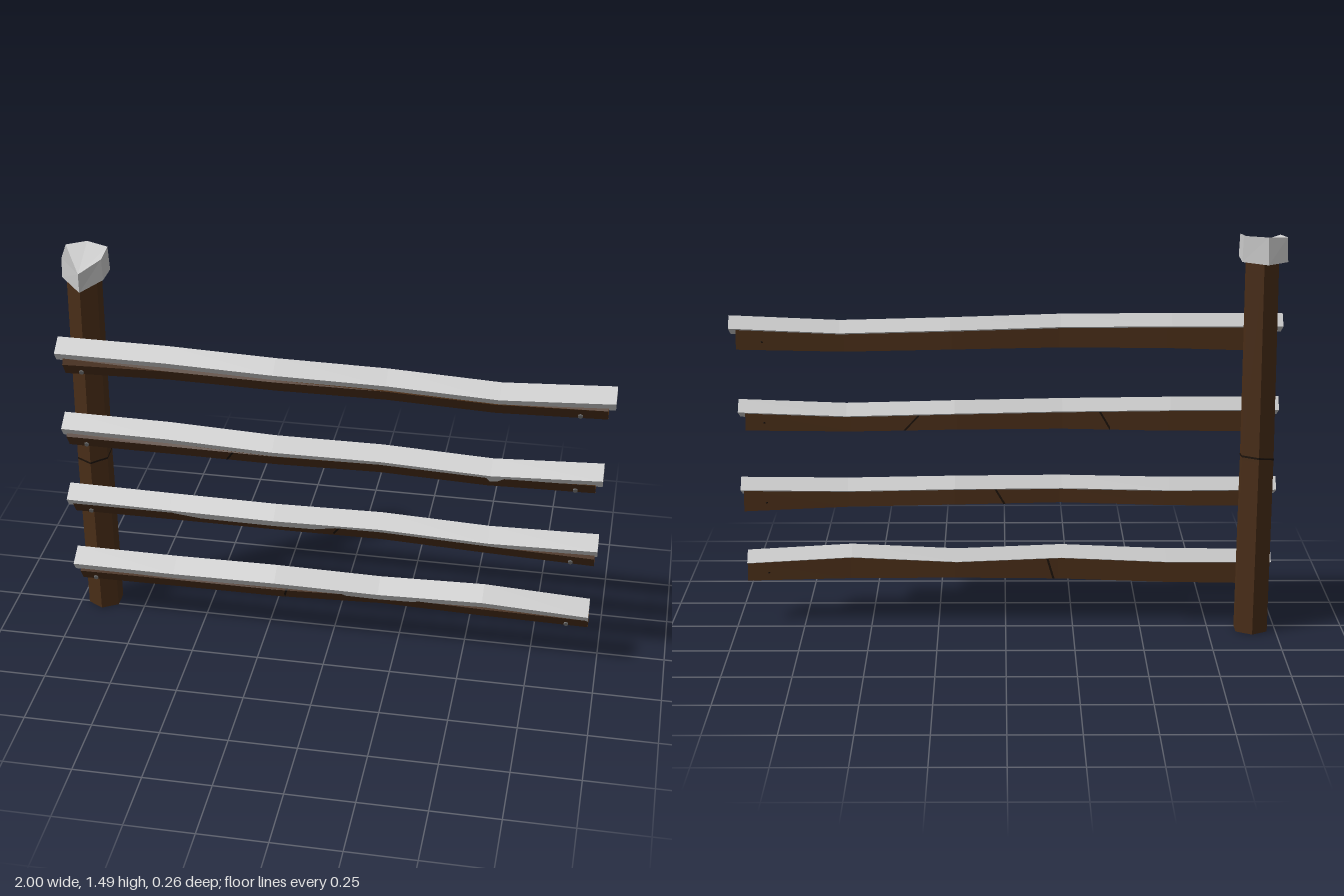
import * as THREE from 'three';

const V = (x, y, z) => new THREE.Vector3(x, y, z);
const mat = (color) => new THREE.MeshStandardMaterial({ color, flatShading: true });
const WOOD = mat(0x4a2e18), CUT = mat(0x8f5a2b), SNOW = mat(0xcccccc), DARK = mat(0x1c120a), METAL = mat(0x666666);

function meshFrom(triangles, material, name) {
  const geo = new THREE.BufferGeometry().setFromPoints(triangles);
  geo.computeVertexNormals();
  const mesh = new THREE.Mesh(geo, material);
  mesh.name = name;
  return mesh;
}

// Faceted skin through rings that run counter-clockwise seen from the far end
function loft(rings, material, name, endMaterial = material) {
  const group = new THREE.Group();
  group.name = name;
  const sides = [], ends = [], n = rings[0].length;
  for (let i = 0; i < rings.length - 1; i++) {
    for (let j = 0; j < n; j++) {
      const k = (j + 1) % n, a = rings[i], b = rings[i + 1];
      sides.push(a[j], a[k], b[k], a[j], b[k], b[j]);
    }
  }
  const first = rings[0], last = rings[rings.length - 1];
  for (let j = 1; j < n - 1; j++) {
    ends.push(first[0], first[j + 1], first[j], last[0], last[j], last[j + 1]);
  }
  group.add(meshFrom(sides, material, name + 'Sides'), meshFrom(ends, endMaterial, name + 'Ends'));
  return group;
}

// Rail shape: underside height, snow ridge height and depth drift along x
const STATIONS = [-1, -0.6, -0.2, 0.2, 0.6, 1];
const DRIFT = [-0.01, -0.007, 0.006, -0.006, 0.003, -0.003];
const RAILS = [
  { lo: [0.155, 0.16, 0.17, 0.178, 0.173, 0.165], hi: [0.287, 0.287, 0.3, 0.287, 0.305, 0.28],
    snow: [-0.985, 0.96], wood: [-0.965, 0.96], front: 0.008, cracks: [[-0.16, 0.3]] },
  { lo: [0.457, 0.46, 0.468, 0.463, 0.452, 0.435], hi: [0.568, 0.565, 0.57, 0.57, 0.56, 0.566],
    snow: [-0.995, 0.975], wood: [-0.975, 0.965], front: 0, cracks: [[0.035, 0.6]] },
  { lo: [0.745, 0.745, 0.75, 0.75, 0.74, 0.747], hi: [0.872, 0.87, 0.862, 0.857, 0.845, 0.863],
    snow: [-0.995, 0.975], wood: [-0.98, 0.95], front: 0, cracks: [[0.32, -0.95], [-0.35, 0.6]] },
  { lo: [1.043, 1.055, 1.055, 1.05, 1.04, 1.05], hi: [1.182, 1.182, 1.177, 1.167, 1.155, 1.174],
    snow: [-1, 1], wood: [-0.975, 0.975], front: 0, cracks: [] },
];

function at(values, x) {
  const t = THREE.MathUtils.clamp((x + 1) / 0.4, 0, 4.999), i = Math.floor(t);
  return THREE.MathUtils.lerp(values[i], values[i + 1], t - i);
}

function woodRing(rail, x) {
  const lo = at(rail.lo, x), hi = at(rail.hi, x), z = at(DRIFT, x);
  return [V(x, hi - 0.066, z + 0.1), V(x, lo + 0.05, z + 0.108), V(x, lo, z + 0.076),
    V(x, lo + 0.002, z + 0.038), V(x, hi - 0.044, z + 0.04)];
}

function snowRing(rail, x) {
  const hi = at(rail.hi, x), z = at(DRIFT, x);
  return [V(x, hi - 0.04, z + 0.118 + rail.front), V(x, hi - 0.076, z + 0.094 + rail.front),
    V(x, hi - 0.042, z + 0.025), V(x, hi, z + 0.06)];
}

const along = ([x0, x1], ring) =>
  STATIONS.map((s) => ring(THREE.MathUtils.mapLinear(s, -1, 1, x0, x1)));

// Thin dark slice leaning across the rail
function crackSlice(ringFn, rail, x, lean, name) {
  const mid = (at(rail.lo, x) + at(rail.hi, x)) / 2;
  const slice = [-0.004, 0.004].map((d) => {
    const ring = ringFn(rail, x);
    const c = ring.reduce((s, p) => s.add(p), V(0, 0, 0)).divideScalar(ring.length);
    return ring.map((p) => V(x + d + lean * (p.y - mid), c.y + (p.y - c.y) * 1.02, c.z + (p.z - c.z) * 1.03));
  });
  return loft(slice, DARK, name);
}

function makeNail(x, y, z) {
  const nail = new THREE.Group();
  nail.name = 'nail';
  const shaft = new THREE.Mesh(new THREE.CylinderGeometry(0.005, 0.002, 0.095, 5), DARK);
  shaft.name = 'nailShaft';
  shaft.position.y = -0.0475;
  const head = new THREE.Mesh(new THREE.CylinderGeometry(0.009, 0.009, 0.006, 6), METAL);
  head.name = 'nailHead';
  nail.add(shaft, head);
  nail.position.set(x, y, z);
  nail.rotation.x = Math.PI / 2 + 0.28;
  return nail;
}

function makeRail(rail) {
  const group = new THREE.Group();
  group.name = 'rail';
  group.add(loft(along(rail.wood, (x) => woodRing(rail, x)), WOOD, 'railWood', CUT));
  group.add(loft(along(rail.snow, (x) => snowRing(rail, x)), SNOW, 'railSnow'));
  for (const [x, lean] of rail.cracks) group.add(crackSlice(woodRing, rail, x, lean, 'crack'));
  for (const x of [-0.91, 0.88]) group.add(makeNail(x, at(rail.lo, x) + 0.016, at(DRIFT, x) + 0.093));
  return group;
}

// Six-sided ring with a corner facing the front
function hexRing(x, y, z, r) {
  return Array.from({ length: 6 }, (_, i) => {
    const a = -Math.PI / 2 + (i * Math.PI) / 3;
    return V(x + Math.cos(a) * r, y, z - Math.sin(a) * r);
  });
}

function makePost() {
  const group = new THREE.Group();
  group.name = 'post';
  const rings = [[-0.91, 0, -0.028, 0.067], [-0.914, 0.66, -0.024, 0.066], [-0.91, 1.41, -0.028, 0.064]];
  group.add(loft(rings.map((r) => hexRing(...r)), WOOD, 'postWood'));

  // Crack around the shaft
  const crack = [0.661, 0.668].map((y) =>
    hexRing(-0.914, y, -0.024, 0.0672).map((p) => V(p.x, p.y + (p.x + 0.914) * 0.1 - (p.z + 0.024) * 0.14, p.z)));
  group.add(loft(crack, DARK, 'postCrack'));

  // Lopsided snow cap: x, z, underside and top height of each corner
  const corners = [[-0.905, 0.06, 1.368, 1.44], [-0.83, 0.008, 1.4, 1.48], [-0.832, -0.09, 1.395, 1.487],
    [-0.92, -0.128, 1.39, 1.487], [-0.993, -0.092, 1.395, 1.482], [-0.98, 0.01, 1.4, 1.475]];
  const under = corners.map(([x, z, y]) => V(x, y, z));
  const top = corners.map(([x, z, , y]) => V(-0.91 + (x + 0.91) * 0.96, y, -0.03 + (z + 0.03) * (z < 0 ? 0.9 : 1)));
  group.add(loft([under, top], SNOW, 'postSnowCap'));
  return group;
}

export function createModel() {
  const model = new THREE.Group();
  model.name = 'snowyFence';
  model.add(makePost(), ...RAILS.map(makeRail));
  return model;
}
